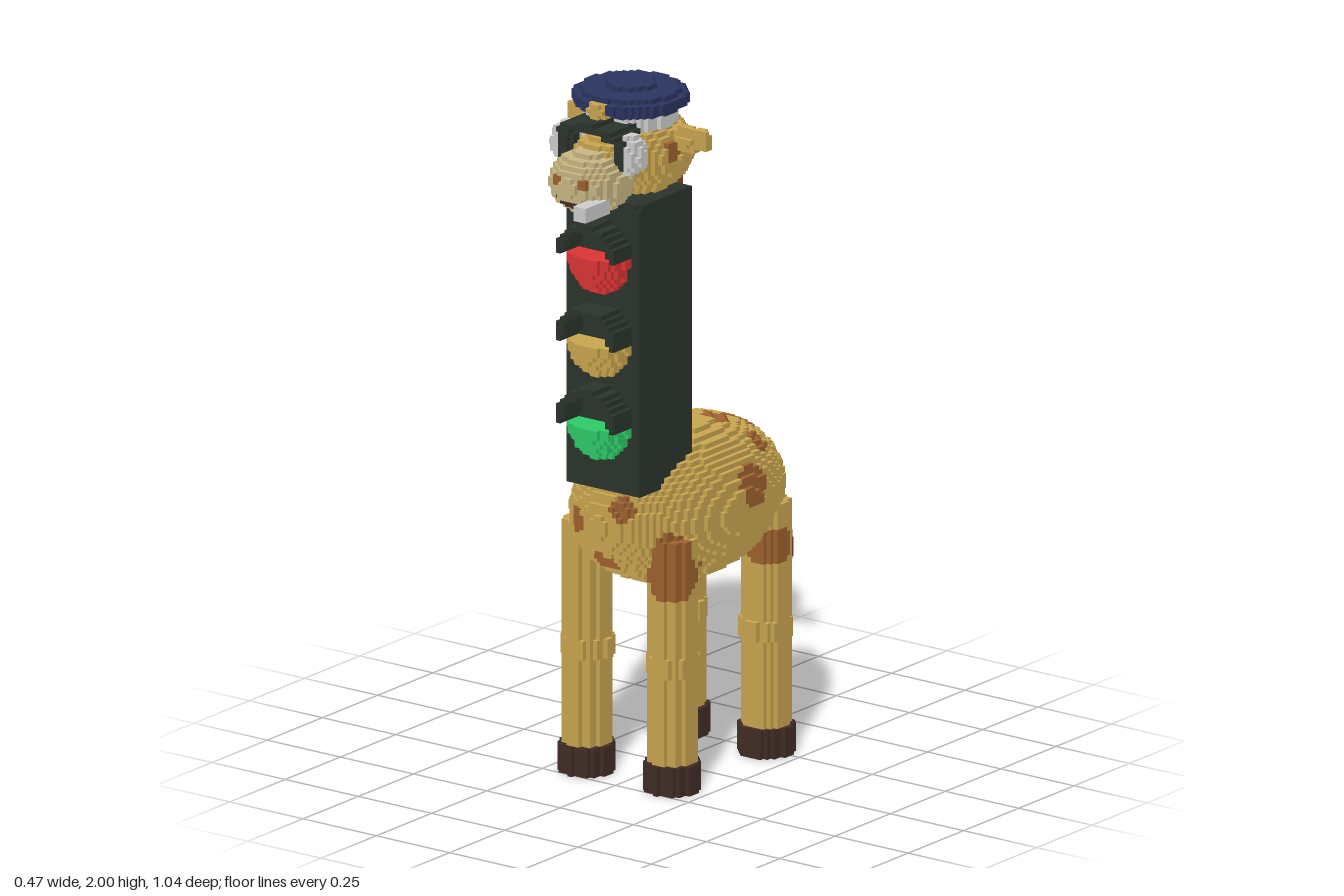
import * as THREE from 'three';

const V = 2 / 144; // voxel size
const mat = (name, color) => Object.assign(new THREE.MeshStandardMaterial({ color }), { name });

// Implicit shapes, each with bounds [min, max] and an inside test
const ball = (cx, cy, cz, rx, ry = rx, rz = rx) => ({
  min: [cx - rx, cy - ry, cz - rz], max: [cx + rx, cy + ry, cz + rz],
  inside: (x, y, z) => ((x - cx) / rx) ** 2 + ((y - cy) / ry) ** 2 + ((z - cz) / rz) ** 2 <= 1,
});
const roundBox = (min, max, r = 0) => ({
  min, max,
  inside: (...p) => {
    const q = p.map((c, a) => Math.max(min[a] + r - c, c - max[a] + r, 0));
    return Math.hypot(...q) <= r + 1e-6;
  },
});
const disc = (cx, cz, r, y0, y1) => ({
  min: [cx - r, y0, cz - r], max: [cx + r, y1, cz + r],
  inside: (x, y, z) => y >= y0 && y <= y1 && Math.hypot(x - cx, z - cz) <= r,
});
// Keep only the points of a shape that also pass a test
const cut = (s, test) => ({ ...s, inside: (x, y, z) => s.inside(x, y, z) && test(x, y, z) });

const key = (i, j, k) => i + 200 + 400 * (j + 200 + 400 * (k + 200));

export function createModel() {
  const fur = mat('fur', 0xcaa650), spot = mat('spot', 0xa06230), mane = mat('mane', 0x7d482a);
  const hoof = mat('hoof', 0x422d26), dark = mat('darkGreen', 0x2b342c), red = mat('red', 0xdc3434);
  const green = mat('green', 0x2ecc68), navy = mat('navy', 0x2b3560), grey = mat('lightGrey', 0xcfcfcf);
  const cream = mat('cream', 0xcbb784);
  const cells = new Map();

  // Fill a shape with voxels; later parts replace earlier ones
  function fill(part, shape, paint) {
    const lo = shape.min.map((c) => Math.floor(c / V)), hi = shape.max.map((c) => Math.ceil(c / V));
    for (let i = lo[0]; i < hi[0]; i++)
      for (let j = Math.max(0, lo[1]); j < Math.min(144, hi[1]); j++)
        for (let k = lo[2]; k < hi[2]; k++) {
          const p = [(i + 0.5) * V, (j + 0.5) * V, (k + 0.5) * V];
          if (!shape.inside(...p)) continue;
          const m = typeof paint === 'function' ? paint(...p) : paint;
          cells.set(key(i, j, k), { part, m, p: [i, j, k] });
        }
  }

  // Coat patches: x, y, z, radius
  const spots = [
    [0.015, 0.93, -0.285, 0.06], [0.05, 0.97, -0.15, 0.045], [-0.085, 0.95, -0.045, 0.045],
    [-0.18, 0.85, -0.21, 0.05], [-0.18, 0.87, -0.12, 0.04], [0.22, 0.82, -0.08, 0.06],
    [-0.17, 0.86, 0.12, 0.065], [-0.085, 0.76, 0.3, 0.035], [0.06, 0.81, 0.29, 0.035],
    [0.17, 0.62, 0.22, 0.07], [0.17, 0.69, 0.22, 0.055], [-0.01, 0.64, 0.28, 0.04],
    [0.2, 0.61, 0.11, 0.035], [0.17, 0.605, -0.22, 0.06], [-0.2, 0.66, -0.05, 0.05],
    [-0.19, 0.62, -0.25, 0.045], [0.08, 0.77, -0.37, 0.05], [-0.1, 0.68, -0.34, 0.05],
    [0.14, 0.9, -0.2, 0.04], [0.05, 0.55, -0.1, 0.05],
    [0.14, 1.82, 0.17, 0.03], [-0.14, 1.82, 0.17, 0.03], [0.11, 1.86, 0.27, 0.03], [-0.08, 1.82, 0.02, 0.03],
  ];
  const coat = (x, y, z) => (spots.some(([a, b, c, r]) => Math.hypot(x - a, y - b, z - c) < r) ? spot : fur);

  // Body and legs
  fill('body', ball(0, 0.758, -0.03, 0.238, 0.22, 0.36), coat);
  for (const x of [-0.145, 0.145])
    for (const z of [0.185, -0.24]) {
      fill('legs', disc(x, z, 0.062, 0.08, 0.72), coat);
      fill('knees', disc(x, z, 0.07, 0.335, 0.385), fur);
      fill('hooves', disc(x, z, 0.073, 0, 0.08), hoof);
    }

  // Tail along a drooping curve
  const tail = new THREE.CatmullRomCurve3([[0, 0.85, -0.35], [0, 0.79, -0.4], [0, 0.69, -0.44], [0, 0.55, -0.475]]
    .map((p) => new THREE.Vector3(...p)));
  for (const p of tail.getPoints(40)) fill('tail', ball(p.x, p.y, p.z, 0.023), fur);
  fill('tailTuft', ball(0, 0.5, -0.477, 0.042, 0.066, 0.045), mane);

  // Signal box neck with mane down the back
  fill('mane', roundBox([-0.035, 0.9, 0], [0.035, 1.7, 0.08]), mane);
  fill('neck', roundBox([-0.13, 0.855, 0.06], [0.13, 1.7, 0.312], 0.03), dark);

  // Signal lamps under half-tube hoods
  const lamps = [[1.535, red, 'topLamp'], [1.295, fur, 'middleLamp'], [1.06, green, 'bottomLamp']];
  for (const [cy, m, name] of lamps) {
    fill(name, cut(ball(0, cy, 0.306, 0.094, 0.104, 0.088), (x, y, z) => y < cy && z > 0.306), m);
    fill(name + 'Hood', cut(roundBox([-0.11, cy, 0.306], [0.11, cy + 0.1, 0.39]), (x, y) => {
      const d = Math.hypot(x, y - cy);
      return d < 0.102 && d > 0.078;
    }), dark);
  }

  // Head and ears
  fill('head', ball(0, 1.8, 0.15, 0.146, 0.118, 0.158), coat);
  fill('snout', ball(0, 1.8, 0.28, 0.1, 0.08, 0.11), fur);
  for (const s of [-1, 1]) {
    fill('ears', ball(s * 0.165, 1.853, 0.14, 0.055, 0.034, 0.022), fur);
    fill('ears', ball(s * 0.21, 1.86, 0.14, 0.032, 0.03, 0.018), fur);
  }

  // Muzzle with nostrils and a smiling mouth
  const onFront = (z) => z > 0.4;
  fill('muzzle', ball(0, 1.762, 0.358, 0.11, 0.086, 0.112), (x, y, z) => {
    if (onFront(z) && Math.hypot(Math.abs(x) - 0.042, y - 1.778) < 0.015) return spot;
    if (onFront(z) && Math.abs(x) < 0.055 && Math.abs(y - 1.708 - 7 * x * x) < 0.009) return hoof;
    return cream;
  });
  fill('whistle', roundBox([0.06, 1.695, 0.4], [0.1, 1.74, 0.52]), grey);

  // Eyes with dark pupils facing forward
  for (const s of [-1, 1])
    fill('eyes', ball(s * 0.108, 1.845, 0.322, 0.042, 0.056, 0.045),
      (x, y, z) => (z > 0.325 && s * x < 0.108 && Math.abs(y - 1.845) < 0.045 ? dark : grey));

  // Cap: band, crown, peak and badge
  fill('capBand', disc(0, 0.18, 0.122, 1.89, 1.935), grey);
  fill('capCrown', disc(0, 0.18, 0.135, 1.93, 1.985), navy);
  fill('capCrown', disc(0, 0.18, 0.156, 1.944, 1.972), navy);
  fill('capButton', disc(0, 0.18, 0.066, 1.98, 2), navy);
  fill('capPeak', cut(roundBox([-0.1, 1.87, 0.26], [0.1, 1.93, 0.388]),
    (x, y) => Math.abs(y - 1.914 + 2.5 * x * x) < 0.011), dark);
  fill('capBadge', ball(0, 1.95, 0.32, 0.034, 0.03, 0.026), fur);

  // Turn the exposed voxel faces into one mesh per part and colour
  const faces = new Map();
  for (const { part, m, p } of cells.values())
    for (let a = 0; a < 3; a++)
      for (const side of [0, 1]) {
        const n = [...p];
        n[a] += side ? 1 : -1;
        if (cells.has(key(...n))) continue;
        if (!faces.has(part)) faces.set(part, new Map());
        const byMat = faces.get(part);
        if (!byMat.has(m)) byMat.set(m, { pos: [], nor: [], idx: [] });
        const f = byMat.get(m), base = f.pos.length / 3, u = (a + 1) % 3, v = (a + 2) % 3;
        for (const [du, dv] of [[0, 0], [1, 0], [1, 1], [0, 1]]) {
          const c = [...p], normal = [0, 0, 0];
          c[a] += side; c[u] += du; c[v] += dv;
          normal[a] = side ? 1 : -1;
          f.pos.push(c[0] * V, c[1] * V, c[2] * V);
          f.nor.push(...normal);
        }
        f.idx.push(...(side ? [0, 1, 2, 0, 2, 3] : [0, 2, 1, 0, 3, 2]).map((i) => base + i));
      }

  const model = new THREE.Group();
  model.name = 'giraffe';
  for (const [part, byMat] of faces) {
    const group = new THREE.Group();
    group.name = part;
    for (const [m, f] of byMat) {
      const g = new THREE.BufferGeometry();
      g.setAttribute('position', new THREE.Float32BufferAttribute(f.pos, 3));
      g.setAttribute('normal', new THREE.Float32BufferAttribute(f.nor, 3));
      g.setIndex(f.idx);
      const mesh = new THREE.Mesh(g, m);
      mesh.name = part + ' ' + m.name;
      group.add(mesh);
    }
    model.add(group);
  }
  return model;
}
